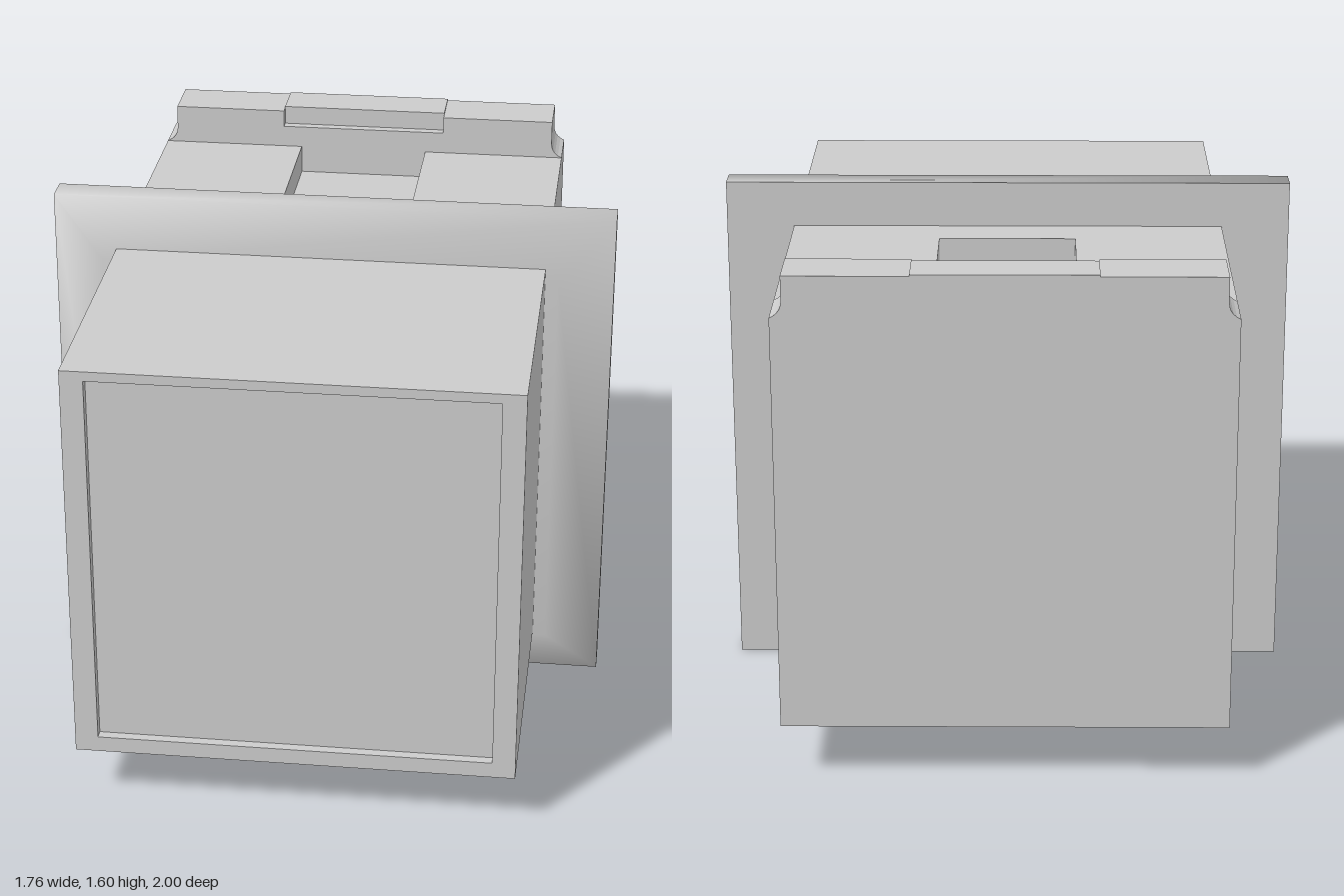
import * as THREE from 'three';
import { mergeGeometries } from 'three/addons/utils/BufferGeometryUtils.js';

const material = new THREE.MeshStandardMaterial({ color: 0xcccccc });
const W = 0.67, BOTTOM = 0.18, TOP = 1.46, FRONT = 1, BACK = -1, LIP_Z = -0.83;

function mesh(name, geometry) {
  const m = new THREE.Mesh(geometry, material);
  m.name = name;
  return m;
}

const outline = (pts) => new THREE.Shape(pts.map(([x, y]) => new THREE.Vector2(x, y)));
const rect = (x, y0, y1) => [[-x, y0], [x, y0], [x, y1], [-x, y1]];

// Inward-facing box without the listed sides (0..5 = +x -x +y -y +z -z)
function cavity(x, y0, y1, z0, z1, open) {
  const g = new THREE.BoxGeometry(2 * x, y1 - y0, z1 - z0);
  const index = Array.from(g.index.array);
  g.setIndex(index.filter((_, i) => !open.includes(Math.floor(i / 6))));
  g.scale(-1, 1, 1);
  g.computeVertexNormals();
  return g.translate(0, (y0 + y1) / 2, (z0 + z1) / 2);
}

// Main housing: outer panels with a framed front recess and a pocket in the top
function housing() {
  const depth = FRONT - LIP_Z, midZ = (FRONT + LIP_Z) / 2, midY = (BOTTOM + TOP) / 2;
  const front = outline(rect(W, BOTTOM, TOP));
  front.holes.push(outline(rect(0.6, 0.23, 1.43)));
  const top = outline([[-W, -FRONT], [W, -FRONT], [W, -LIP_Z], [0.21, -LIP_Z],
    [0.21, 0.2], [-0.21, 0.2], [-0.21, -LIP_Z], [-W, -LIP_Z]]);
  const parts = [
    new THREE.ShapeGeometry(front).translate(0, 0, FRONT),
    new THREE.ShapeGeometry(top).rotateX(-Math.PI / 2).translate(0, TOP, 0),
    new THREE.PlaneGeometry(2 * W, depth).rotateX(Math.PI / 2).translate(0, BOTTOM, midZ),
    cavity(0.6, 0.23, 1.43, FRONT - 0.03, FRONT, [4]),
    cavity(0.21, TOP - 0.09, TOP, LIP_Z, -0.2, [2, 5]),
  ];
  for (const s of [-1, 1]) {
    parts.push(new THREE.PlaneGeometry(depth, TOP - BOTTOM)
      .rotateY(s * Math.PI / 2).translate(s * W, midY, midZ));
  }
  return mesh('housing', mergeGeometries(parts));
}

// Rear wall rising into a lip with flared ends and a notch in its top edge
function rearWall() {
  const s = new THREE.Shape();
  const lipTop = 1.585, notch = 1.53;
  s.moveTo(-W, BOTTOM);
  s.lineTo(W, BOTTOM);
  s.lineTo(W, TOP);
  s.quadraticCurveTo(0.635, 1.475, 0.635, 1.51);
  s.lineTo(0.635, lipTop);
  s.lineTo(0.27, lipTop);
  s.lineTo(0.27, notch);
  s.lineTo(-0.27, notch);
  s.lineTo(-0.27, lipTop);
  s.lineTo(-0.635, lipTop);
  s.lineTo(-0.635, 1.51);
  s.quadraticCurveTo(-0.635, 1.475, -W, TOP);
  const g = new THREE.ExtrudeGeometry(s, { depth: LIP_Z - BACK, bevelEnabled: false, curveSegments: 5 });
  return mesh('rearWall', g.translate(0, 0, BACK));
}

// Bevelled flange: rectangular rings joined in a loop, smooth over rim and bevel
function flange() {
  const rings = [[0.88, 0.8, -0.06], [0.88, 0.8, 0.03], [0.71, 0.63, 0.13]];
  const positions = [], index = [];
  for (const [x, y, z] of rings) {
    positions.push(-x, 0.8 - y, z, x, 0.8 - y, z, x, 0.8 + y, z, -x, 0.8 + y, z);
  }
  for (let r = 0; r < 2; r++) {
    for (let i = 0; i < 4; i++) {
      const a = r * 4 + i, b = r * 4 + (i + 1) % 4;
      index.push(a, b, b + 4, a, b + 4, a + 4);
    }
  }
  index.push(8, 9, 10, 8, 10, 11);
  const g = new THREE.BufferGeometry();
  g.setAttribute('position', new THREE.Float32BufferAttribute(positions, 3));
  g.setIndex(index);
  g.computeVertexNormals();
  const back = new THREE.PlaneGeometry(1.76, 1.6).rotateY(Math.PI).translate(0, 0.8, -0.06);
  back.deleteAttribute('uv');
  return mesh('flange', mergeGeometries([g, back]));
}

export function createModel() {
  const model = new THREE.Group();
  model.name = 'flangedHousing';
  // Latch bar fills the notch behind its front ledge, slightly proud of the lip
  const latch = new THREE.BoxGeometry(0.54, 0.06, 0.14).translate(0, 1.56, -0.93);
  model.add(housing(), rearWall(), mesh('latchBar', latch), flange());
  return model;
}
